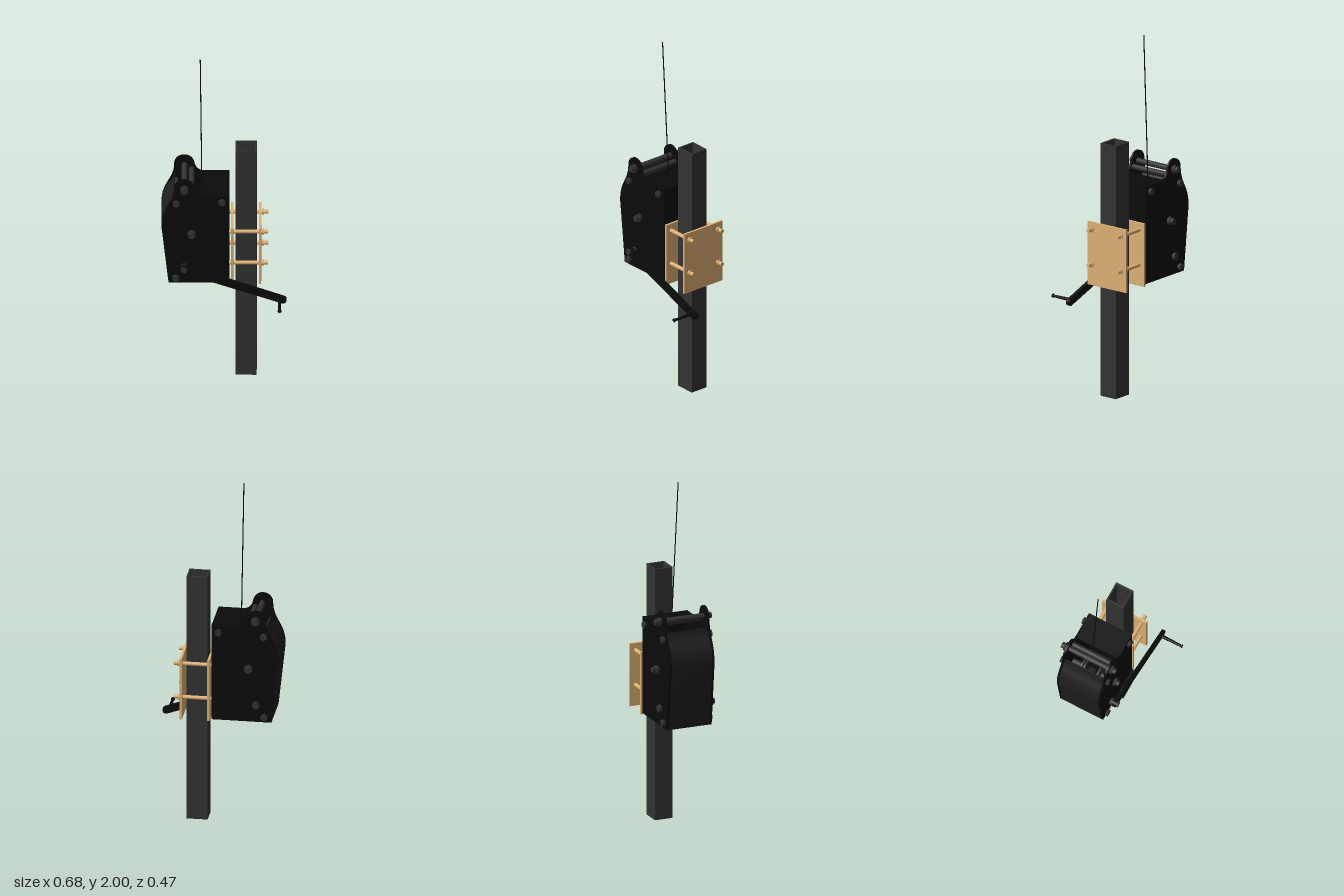
import * as THREE from 'three';
import { toCreasedNormals } from 'three/addons/utils/BufferGeometryUtils.js';

const material = (color) => new THREE.MeshStandardMaterial({ color });

export function createModel() {
  const group = new THREE.Group();
  const black = material(0x0b0b0b);
  const grey = material(0x333333);
  const cover = material(0x1e1e1e);
  const brass = material(0xdeb074);

  const add = (name, geometry, mat, x = 0, y = 0, z = 0, parent = group) => {
    const mesh = new THREE.Mesh(geometry, mat);
    mesh.name = name;
    mesh.position.set(x, y, z);
    parent.add(mesh);
    return mesh;
  };
  // Cylinder running along z from z0 to z1
  const rodZ = (name, x, y, z0, z1, r, mat, sides = 20, rEnd = r) => add(name,
    new THREE.CylinderGeometry(rEnd, r, z1 - z0, sides).rotateX(Math.PI / 2), mat, x, y, (z0 + z1) / 2);
  // Cylinder running along x from x0 to x1
  const rodX = (name, x0, x1, y, z, r, mat, sides = 20) => add(name,
    new THREE.CylinderGeometry(r, r, x1 - x0, sides).rotateZ(-Math.PI / 2), mat, (x0 + x1) / 2, y, z);
  const extrude = (shape, depth, curveSegments = 16) => toCreasedNormals(
    new THREE.ExtrudeGeometry(shape, { depth, bevelEnabled: false, curveSegments }), 0.5);

  // Square hollow post
  const rect = (path, w, h) => path.moveTo(-w, -h).lineTo(w, -h).lineTo(w, h).lineTo(-w, h).closePath();
  const post = rect(new THREE.Shape(), 0.058, 0.053);
  post.holes.push(rect(new THREE.Path(), 0.049, 0.044));
  add('post', extrude(post, 1.445).rotateX(-Math.PI / 2), grey, 0.12, 0, -0.058);

  // Housing side plates with the rounded ear
  const plate = new THREE.Shape();
  plate.moveTo(0.028, 0.64);
  plate.lineTo(0.028, 1.197);
  plate.lineTo(-0.105, 1.197);
  plate.bezierCurveTo(-0.14, 1.197, -0.158, 1.215, -0.165, 1.255);
  plate.absarc(-0.219, 1.244, 0.055, 0.2, Math.PI, false);
  plate.bezierCurveTo(-0.274, 1.14, -0.345, 1.12, -0.343, 1.0);
  plate.lineTo(-0.304, 0.64);
  plate.closePath();
  for (const [name, z] of [['frontSidePlate', 0.055], ['backSidePlate', -0.2]]) {
    add(name, extrude(plate, 0.012), black, 0, 0, z);
  }

  // Sheet walls between the plates, open at the top under the ears
  const wall = (name, points, mat) => {
    const centre = new THREE.Vector2(-0.16, 0.95);
    const inner = points.map((p) => p.clone().lerp(centre, 0.035)).reverse();
    add(name, extrude(new THREE.Shape([...points, ...inner]), 0.243), mat, 0, 0, -0.188);
  };
  const v = (x, y) => new THREE.Vector2(x, y);
  wall('housingWall', [v(-0.13, 1.197), v(0.028, 1.197), v(0.028, 0.64), v(-0.304, 0.64)], black);
  const bend = new THREE.CubicBezierCurve(v(-0.343, 1.0), v(-0.345, 1.12), v(-0.28, 1.12), v(-0.272, 1.19));
  wall('curvedCover', [v(-0.304, 0.64), ...bend.getPoints(14)], cover);

  // Through bolts with hexagonal heads: x, y, shaft radius, head radius, projection
  const bolts = [
    [-0.262, 1.15, 0.010, 0.020, 0.016],
    [-0.012, 1.16, 0.010, 0.020, 0.016],
    [-0.265, 0.672, 0.010, 0.020, 0.016],
    [-0.219, 0.742, 0.012, 0.022, 0.016],
    [-0.178, 0.955, 0.015, 0.025, 0.016],
    [-0.217, 1.24, 0.016, 0.026, 0.016],
  ];
  for (const [x, y, r, head, out] of bolts) {
    rodZ('boltShaft', x, y, -0.2, 0.067, r, grey);
    rodZ('frontBoltHead', x, y, 0.067, 0.067 + out, head, grey, 6);
    rodZ('backBoltHead', x, y, -0.2 - out, -0.2, head, grey, 6);
  }
  rodZ('earShaftFrontEnd', -0.217, 1.24, 0.08, 0.1, 0.017, grey);
  rodZ('earShaftBackEnd', -0.217, 1.24, -0.235, -0.21, 0.017, grey);
  rodZ('drumShaftFrontEnd', -0.178, 0.955, 0.08, 0.1, 0.016, grey);
  rodZ('drumShaftBackEnd', -0.178, 0.955, -0.235, -0.21, 0.016, grey);
  rodZ('guideRoller', -0.178, 1.215, -0.19, 0.057, 0.015, grey);

  // Drum with flanges
  rodZ('drum', -0.178, 0.955, -0.115, -0.02, 0.053, grey, 32);
  for (const z of [-0.123, -0.023]) rodZ('drumFlange', -0.178, 0.955, z, z + 0.01, 0.09, grey, 40);

  // Rope wound on the drum, then running up out of the opening
  const turns = 13;
  const coil = [];
  for (let i = 0; i <= turns * 20; i++) {
    const a = (i / 20) * Math.PI * 2;
    coil.push(new THREE.Vector3(-0.178 + 0.056 * Math.cos(a), 0.955 + 0.056 * Math.sin(a),
      -0.028 - 0.075 * i / (turns * 20)));
  }
  add('woundRope', new THREE.TubeGeometry(new THREE.CatmullRomCurve3(coil), turns * 24, 0.003, 6), black);
  const line = new THREE.LineCurve3(new THREE.Vector3(-0.12, 0.955, -0.103), new THREE.Vector3(-0.131, 2, -0.057));
  add('rope', new THREE.TubeGeometry(line, 1, 0.003, 8), black);

  // Crank: tapered arm, hub and grip
  const length = 0.575;
  const arm = new THREE.Shape();
  arm.absarc(0, 0, 0.023, Math.PI / 2, Math.PI * 1.5, false);
  arm.absarc(length, 0, 0.02, -Math.PI / 2, Math.PI / 2, false);
  arm.closePath();
  add('crankArm', extrude(arm, 0.02), black, -0.219, 0.745, 0.087).rotation.z = -0.346;
  rodZ('crankShaft', -0.219, 0.745, 0.06, 0.118, 0.017, grey);
  rodZ('crankGrip', 0.304, 0.557, 0.085, 0.229, 0.0105, black, 20, 0.007);
  rodZ('crankGripCap', 0.304, 0.557, 0.227, 0.231, 0.011, black);

  // Clamp plates on both sides of the post, tied by four bolts
  for (const x of [0.0435, 0.1965]) {
    add('clampPlate', new THREE.BoxGeometry(0.013, 0.36, 0.273), brass, x, 0.81, -0.0685);
  }
  for (const y of [0.75, 0.95]) {
    for (const z of [-0.17, 0.035]) {
      rodX('clampBolt', 0.02, 0.241, y, z, 0.011, brass);
      rodX('clampWasher', 0.203, 0.207, y, z, 0.013, brass);
      rodX('clampNut', 0.207, 0.217, y, z, 0.017, brass, 6);
    }
  }
  return group;
}
